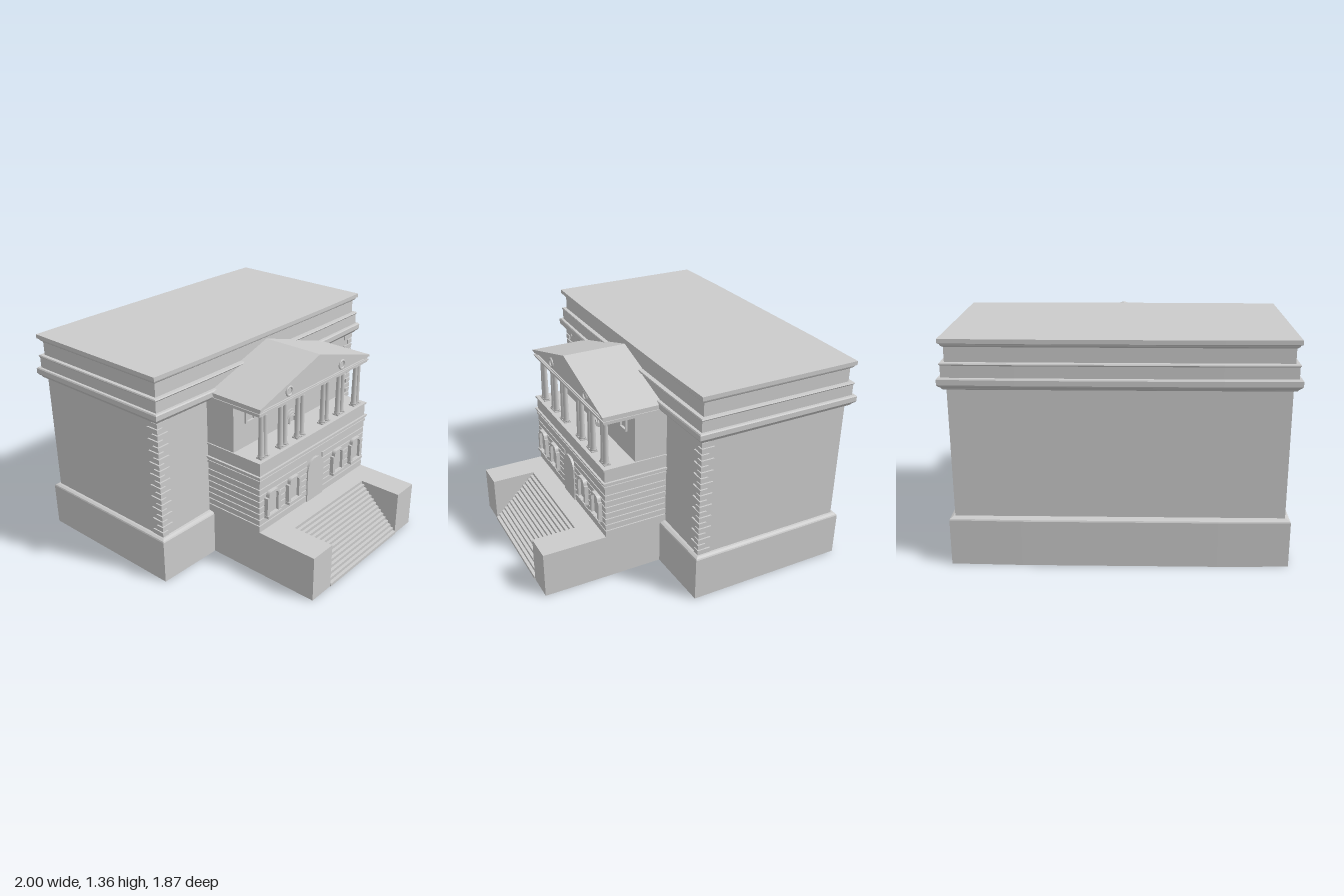
import * as THREE from 'three';

const mat = new THREE.MeshStandardMaterial({ color: 0xcccccc });

export function createModel() {
  const root = new THREE.Group();
  root.name = 'building';

  const add = (name, geo, parent = root) => {
    const m = new THREE.Mesh(geo, mat);
    m.name = name;
    parent.add(m);
    return m;
  };
  const group = (name) => {
    const g = new THREE.Group();
    g.name = name;
    root.add(g);
    return g;
  };
  // Box given by its limits on each axis
  const box = (name, x0, x1, y0, y1, z0, z1, parent) => {
    const m = add(name, new THREE.BoxGeometry(x1 - x0, y1 - y0, z1 - z0), parent);
    m.position.set((x0 + x1) / 2, (y0 + y1) / 2, (z0 + z1) / 2);
    return m;
  };
  // Outline in x and y pushed out from z0 to z1
  const extrude = (name, shape, z0, z1, parent) => {
    const m = add(name, new THREE.ExtrudeGeometry(shape, { depth: z1 - z0, bevelEnabled: false, curveSegments: 14 }), parent);
    m.position.z = z0;
    return m;
  };
  const poly = (pts) => new THREE.Shape(pts.map(([x, y]) => new THREE.Vector2(x, y)));
  // Opening with straight jambs and an elliptical head
  const arch = (hw, y0, spring, rise) => {
    const s = new THREE.Shape();
    s.moveTo(-hw, y0);
    s.lineTo(hw, y0);
    s.lineTo(hw, spring);
    s.absellipse(0, spring, hw, rise, 0, Math.PI, false);
    s.closePath();
    return s;
  };
  const withHole = (shape, hole) => {
    shape.holes.push(hole);
    return shape;
  };

  // Main block: plan rings [y, projection, bow] with slightly bowed long sides
  const ring = ([y, o, bow]) => {
    const x = 0.955 + o, f = 0.107 + o, b = -0.877 - o, k = 0.57;
    return [[x, f], [k, f + bow], [-k, f + bow], [-x, f], [-x, b], [-k, b - bow], [k, b - bow], [x, b]]
      .map(([px, pz]) => [px, y, pz]);
  };
  const loft = (name, profile) => {
    const rings = profile.map(ring), p = [], n = 8;
    const top = rings.length - 1;
    const centre = (r) => [0, r[0][1], -0.385];
    for (let i = 0; i < n; i++) {
      const j = (i + 1) % n;
      for (let k = 0; k < top; k++) {
        const a = rings[k], b = rings[k + 1];
        p.push(...a[j], ...a[i], ...b[i], ...a[j], ...b[i], ...b[j]);
      }
      p.push(...centre(rings[top]), ...rings[top][j], ...rings[top][i]);
      p.push(...centre(rings[0]), ...rings[0][i], ...rings[0][j]);
    }
    const g = new THREE.BufferGeometry();
    g.setAttribute('position', new THREE.Float32BufferAttribute(p, 3));
    g.computeVertexNormals();
    add(name, g);
  };
  loft('plinth', [[0, 0.03, 0.01], [0.28, 0.03, 0.01], [0.288, 0.026, 0.01], [0.295, 0.012, 0.005], [0.297, 0, 0]]);
  loft('mainWalls', [[0.29, 0, 0], [1.08, 0, 0]]);
  loft('mainCornice', [[1.062, 0.002, 0], [1.07, 0.02, 0.006], [1.08, 0.026, 0.01], [1.092, 0.04, 0.012],
    [1.1, 0.045, 0.012], [1.13, 0.045, 0.012], [1.137, 0.04, 0.012], [1.137, 0.024, 0.008]]);
  loft('parapetBand', [[1.13, 0.024, 0.008], [1.205, 0.024, 0.008], [1.213, 0.03, 0.008], [1.22, 0.026, 0.008], [1.22, 0, 0]]);
  loft('attic', [[1.21, 0.003, 0.002], [1.33, 0.003, 0.002]]);
  loft('roofCornice', [[1.305, 0.004, 0.003], [1.315, 0.016, 0.006], [1.325, 0.02, 0.006], [1.33, 0.03, 0.008], [1.355, 0.03, 0.008]]);

  // Corner stones at the two front corners, long and short in turn
  const quoins = group('quoins');
  const step = 0.765 / 20;
  for (const s of [-1, 1]) {
    for (let i = 0; i < 20; i++) {
      const y = 0.299 + i * step;
      const wide = i % 2 ? 0.085 : 0.045, deep = i % 2 ? 0.05 : 0.085;
      const xo = s * 0.965, xi = s * (0.965 - wide);
      box('quoin', Math.min(xo, xi), Math.max(xo, xi), y + 0.004, y + step - 0.004, 0.117 - deep, 0.117, quoins);
    }
  }

  // Front terrace and stairs
  const terrace = group('terrace');
  box('landing', -0.55, 0.55, 0, 0.3, 0.1, 0.65, terrace);
  for (const s of [-1, 1]) {
    box('stairCheek', s < 0 ? -0.55 : 0.37, s < 0 ? -0.37 : 0.55, 0, 0.3, 0.65, 0.93, terrace);
  }
  const steps = 15, rise = 0.3 / steps, tread = 0.285 / (steps - 1);
  for (let i = 1; i < steps; i++) {
    box('step', -0.37, 0.37, (i - 1) * rise, i * rise, 0.65, 0.935 - (i - 1) * tread, terrace);
  }

  // Portico ground floor: core, front skin with the door opening, banded stone
  const lower = group('porticoGroundFloor');
  box('core', -0.542, 0.542, 0.3, 0.65, 0.1, 0.47, lower);
  extrude('frontWall', withHole(poly([[-0.542, 0.3], [0.542, 0.3], [0.542, 0.65], [-0.542, 0.65]]),
    arch(0.068, 0.301, 0.51, 0.068)), 0.47, 0.512, lower);
  extrude('doorFrame', withHole(arch(0.083, 0.3, 0.51, 0.085), arch(0.068, 0.2999, 0.51, 0.068)), 0.47, 0.528, lower);
  const bands = [0.3, 0.35, 0.392, 0.434, 0.476, 0.518, 0.56, 0.602, 0.65];
  for (let i = 0; i < bands.length - 1; i++) {
    const y0 = bands[i], y1 = bands[i + 1] - (i < 7 ? 0.008 : 0);
    for (const s of [-1, 1]) {
      const inner = i < 7 ? 0.08 : 0;
      box('frontBand', s < 0 ? -0.55 : inner, s < 0 ? -inner : 0.55, y0, y1, 0.5, 0.52, lower);
      box('sideBand', s < 0 ? -0.55 : 0.53, s < 0 ? -0.53 : 0.55, y0, y1, 0.1, 0.51, lower);
    }
  }

  // Shouldered window surrounds with rounded heads
  const surround = () => {
    const s = new THREE.Shape();
    s.moveTo(-0.064, 0.39);
    s.lineTo(0.064, 0.39);
    s.lineTo(0.064, 0.525);
    s.lineTo(0.05, 0.525);
    s.quadraticCurveTo(0.05, 0.562, 0.02, 0.562);
    s.lineTo(-0.02, 0.562);
    s.quadraticCurveTo(-0.05, 0.562, -0.05, 0.525);
    s.lineTo(-0.064, 0.525);
    s.closePath();
    return s;
  };
  for (const x of [-0.44, -0.235, 0.235, 0.44]) {
    const w = group('lowerWindow');
    w.position.x = x;
    extrude('surround', withHole(surround(), arch(0.04, 0.405, 0.52, 0.03)), 0.515, 0.545, w);
    extrude('pane', arch(0.042, 0.404, 0.52, 0.032), 0.51, 0.526, w);
    box('sill', -0.066, 0.066, 0.388, 0.404, 0.515, 0.552, w);
  }

  // String course and parapet under the loggia
  const course = group('stringCourse');
  for (const [y0, y1, o] of [[0.645, 0.66, 0.006], [0.66, 0.672, 0.0], [0.672, 0.682, 0.009], [0.682, 0.69, 0.014], [0.69, 0.77, 0], [0.77, 0.78, 0.008]]) {
    box('course', -0.55 - o, 0.55 + o, y0, y1, 0.1, 0.52 + o, course);
  }

  // Open loggia with paired columns
  const loggia = group('loggia');
  box('loggiaBackWall', -0.55, 0.55, 0.78, 1.08, 0.1, 0.318, loggia);
  const column = new THREE.LatheGeometry([[0, 0], [0.021, 0], [0.021, 0.01], [0.017, 0.016], [0.0165, 0.12],
    [0.0145, 0.265], [0.019, 0.278], [0, 0.278]].map(([r, y]) => new THREE.Vector2(r, y)), 14);
  for (const s of [-1, 1]) {
    for (const x of [0.497, 0.463, 0.318, 0.276, 0.152, 0.108]) {
      const c = new THREE.Group();
      c.name = 'column';
      c.position.set(s * x, 0.78, 0.484);
      loggia.add(c);
      add('shaft', column, c).position.y = 0.008;
      box('base', -0.021, 0.021, 0, 0.01, -0.021, 0.021, c);
      box('capital', -0.02, 0.02, 0.283, 0.296, -0.02, 0.02, c);
    }
    for (const x of [0.41, 0.275, 0.15]) {
      const w = new THREE.Group();
      w.name = 'upperWindow';
      w.position.x = s * x;
      loggia.add(w);
      const square = (h) => poly([[-h, 0.98 - h], [h, 0.98 - h], [h, 0.98 + h], [-h, 0.98 + h]]);
      extrude('frame', withHole(square(0.042), square(0.032)), 0.315, 0.332, w);
    }
  }
  for (const [r, z] of [[0.075, 0.326], [0.056, 0.332], [0.04, 0.338]]) {
    extrude('loggiaDoorArch', withHole(arch(r, 0.78, 0.797, r), arch(r - 0.012, 0.7801, 0.797, r - 0.012)), 0.315, z, loggia);
  }

  // Pediment and its roof
  const pediment = group('pediment');
  box('entablature', -0.55, 0.55, 1.072, 1.1, 0.1, 0.515, pediment);
  box('eaveMoulding', -0.555, 0.555, 1.084, 1.094, 0.1, 0.522, pediment);
  extrude('tympanum', poly([[-0.545, 1.1], [0.545, 1.1], [0.545, 1.12], [0, 1.275], [-0.545, 1.12]]), 0.1, 0.505, pediment);
  const rake = (name, drop, t, z, hx) => extrude(name, poly([[-hx, 1.125 - drop - t], [0, 1.293 - drop - t],
    [hx, 1.125 - drop - t], [hx, 1.125 - drop], [0, 1.293 - drop], [-hx, 1.125 - drop]]), 0.1, z, pediment);
  rake('roofSlopes', 0, 0.014, 0.527, 0.556);
  rake('rakingMoulding', 0.014, 0.01, 0.52, 0.552);
  rake('lowerRakingMoulding', 0.024, 0.01, 0.513, 0.55);
  for (const s of [-1, 1]) {
    const r = add('roundel', new THREE.TorusGeometry(0.027, 0.007, 8, 24), pediment);
    r.position.set(s * 0.268, 1.14, 0.508);
  }
  return root;
}
